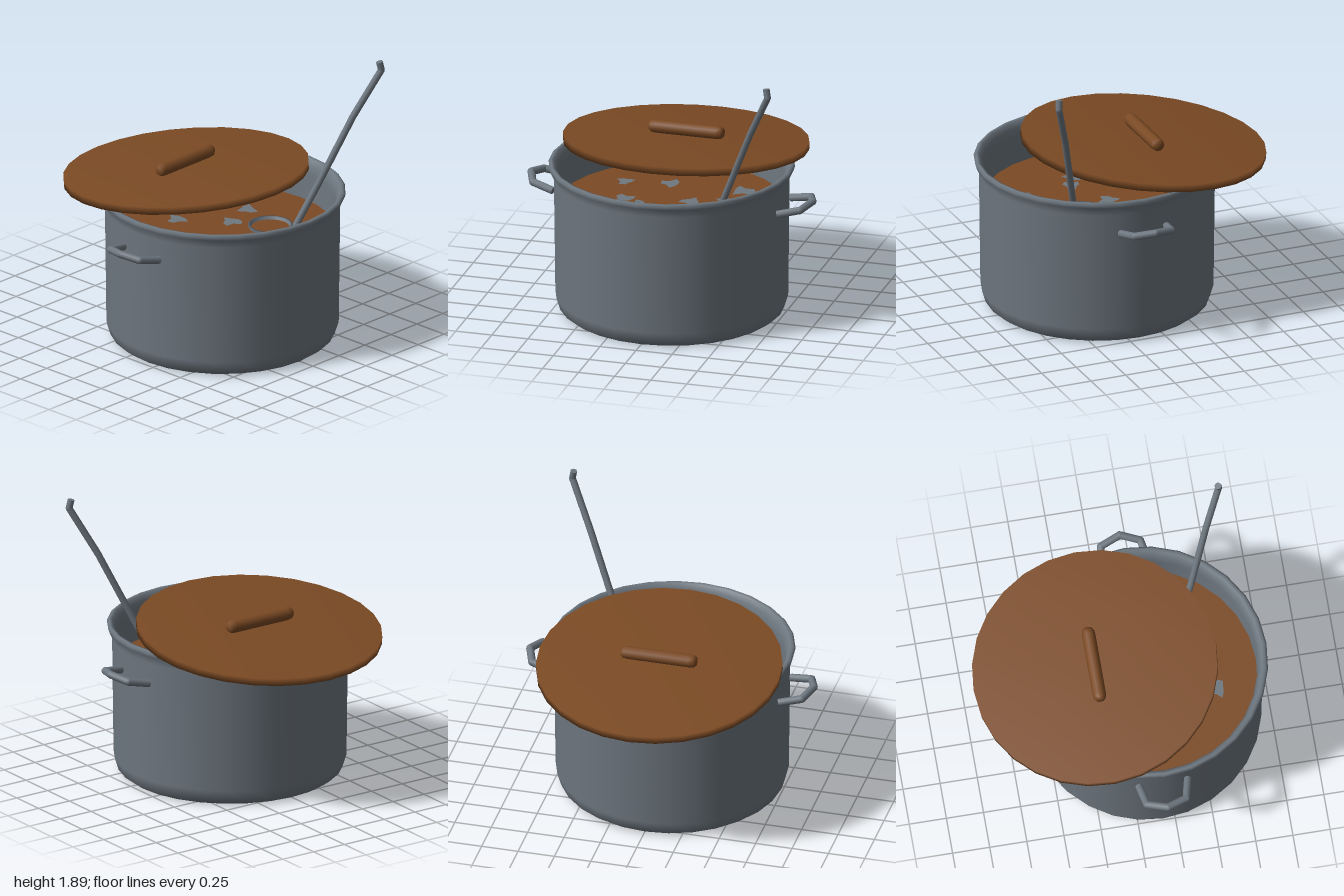
import * as THREE from 'three';
import { mergeGeometries } from 'three/addons/utils/BufferGeometryUtils.js';

const SIDES = 28;
const POT_Z = 0.17;
const SOUP_Y = 0.75;

const V = (p) => new THREE.Vector3(...p);

function mesh(name, geometry, material) {
  const m = new THREE.Mesh(geometry, material);
  m.name = name;
  return m;
}

// Smooth turned shape from [radius, height] pairs
function turned(points, sides = SIDES) {
  return new THREE.LatheGeometry(points.map(([r, y]) => new THREE.Vector2(r, y)), sides);
}

// Bent rod: straight round pieces with ball joints at the bends
function rod(points, radius) {
  const parts = [];
  const up = new THREE.Vector3(0, 1, 0);
  const pts = points.map(V);
  for (let i = 0; i < pts.length - 1; i++) {
    const dir = pts[i + 1].clone().sub(pts[i]);
    const piece = new THREE.CylinderGeometry(radius, radius, dir.length(), 10);
    piece.applyQuaternion(new THREE.Quaternion().setFromUnitVectors(up, dir.clone().normalize()));
    const mid = pts[i].clone().add(pts[i + 1]).multiplyScalar(0.5);
    parts.push(piece.translate(mid.x, mid.y, mid.z));
    if (i > 0) parts.push(new THREE.SphereGeometry(radius, 10, 8).translate(pts[i].x, pts[i].y, pts[i].z));
  }
  return mergeGeometries(parts);
}

// Irregular flat patch lying on the soup
function patch(radius, seed) {
  const shape = new THREE.Shape();
  for (let i = 0; i < 9; i++) {
    const a = (i / 9) * Math.PI * 2;
    const r = radius * (0.8 + 0.3 * Math.sin(i * 2.3 + seed * 1.7));
    shape[i ? 'lineTo' : 'moveTo'](Math.cos(a) * r, Math.sin(a) * r);
  }
  return new THREE.ShapeGeometry(shape).rotateX(-Math.PI / 2);
}

export function createModel() {
  const steel = new THREE.MeshStandardMaterial({ color: 0x6e7780, side: THREE.DoubleSide });
  steel.name = 'steel grey';
  const brown = new THREE.MeshStandardMaterial({ color: 0x7b4a24, side: THREE.DoubleSide });
  brown.name = 'warm brown';

  const model = new THREE.Group();
  model.name = 'cookingPot';

  // Pot body: rounded base, straight wall, flared rim, inner wall and floor
  const pot = mesh('potBody', turned([
    [0, 0], [0.71, 0], [0.75, 0.03], [0.775, 0.11], [0.785, 0.94],
    [0.812, 1.0], [0.82, 1.025], [0.805, 1.04], [0.785, 1.035],
    [0.765, 1.0], [0.75, 0.94], [0.745, 0.12], [0.69, 0.04], [0, 0.04],
  ]), steel);
  pot.position.z = POT_Z;
  model.add(pot);

  // Soup surface with floating pieces
  const soup = mesh('soup', new THREE.CircleGeometry(0.75, SIDES).rotateX(-Math.PI / 2), brown);
  soup.position.set(0, SOUP_Y, POT_Z);
  model.add(soup);
  const pieces = [
    [-0.32, 0.2, 0.08], [-0.2, 0.27, 0.07], [0.12, 0.14, 0.08], [0.35, 0.07, 0.08],
    [0.4, -0.15, 0.09], [-0.17, 0.63, 0.065], [-0.1, -0.15, 0.08], [-0.4, -0.1, 0.07],
  ];
  pieces.forEach(([x, z, r], i) => {
    const p = mesh('soupPiece', patch(r, i), steel);
    p.position.set(x, SOUP_Y + 0.006, z);
    model.add(p);
  });

  // Side handles
  for (const s of [1, -1]) {
    const path = [
      [0.775, 0.805, 0.0], [0.925, 0.838, 0.03], [0.975, 0.86, 0.165],
      [0.925, 0.838, 0.295], [0.775, 0.805, 0.33],
    ].map(([x, y, z]) => [x * s, y, z]);
    model.add(mesh(s > 0 ? 'leftHandle' : 'rightHandle', rod(path, 0.026), steel));
  }

  // Lid leaning on the rim
  const lid = mesh('lid', turned([[0, -0.026], [0.82, -0.026], [0.82, 0.026], [0, 0.026]]), brown);
  lid.position.set(0, 1.067, -0.165);
  lid.rotation.x = -0.107;
  model.add(lid);

  // Lid grip: rounded bar across the lid
  const grip = mesh('lidGrip', turned([
    [0, -0.26], [0.028, -0.258], [0.042, -0.24], [0.045, -0.21],
    [0.045, 0.21], [0.042, 0.24], [0.028, 0.258], [0, 0.26],
  ], 10).rotateZ(Math.PI / 2), brown);
  grip.position.set(0, 1.143, -0.172);
  model.add(grip);

  // Ladle: bent shaft and bowl in the soup
  const ladle = new THREE.Group();
  ladle.name = 'ladle';
  ladle.add(mesh('ladleShaft', rod([
    [0.843, 1.88, 0.805], [0.855, 1.82, 0.812], [0.7, 1.5, 0.7], [0.505, 1.04, 0.57], [0.37, 0.72, 0.47],
  ], 0.023), steel));
  const bowl = mesh('ladleBowl', turned([
    [0, -0.13], [0.08, -0.11], [0.13, -0.06], [0.15, 0.02], [0.135, 0.02], [0.115, -0.05], [0, -0.1],
  ], 16), steel);
  bowl.position.set(0.24, SOUP_Y, 0.38);
  ladle.add(bowl);
  model.add(ladle);

  return model;
}
